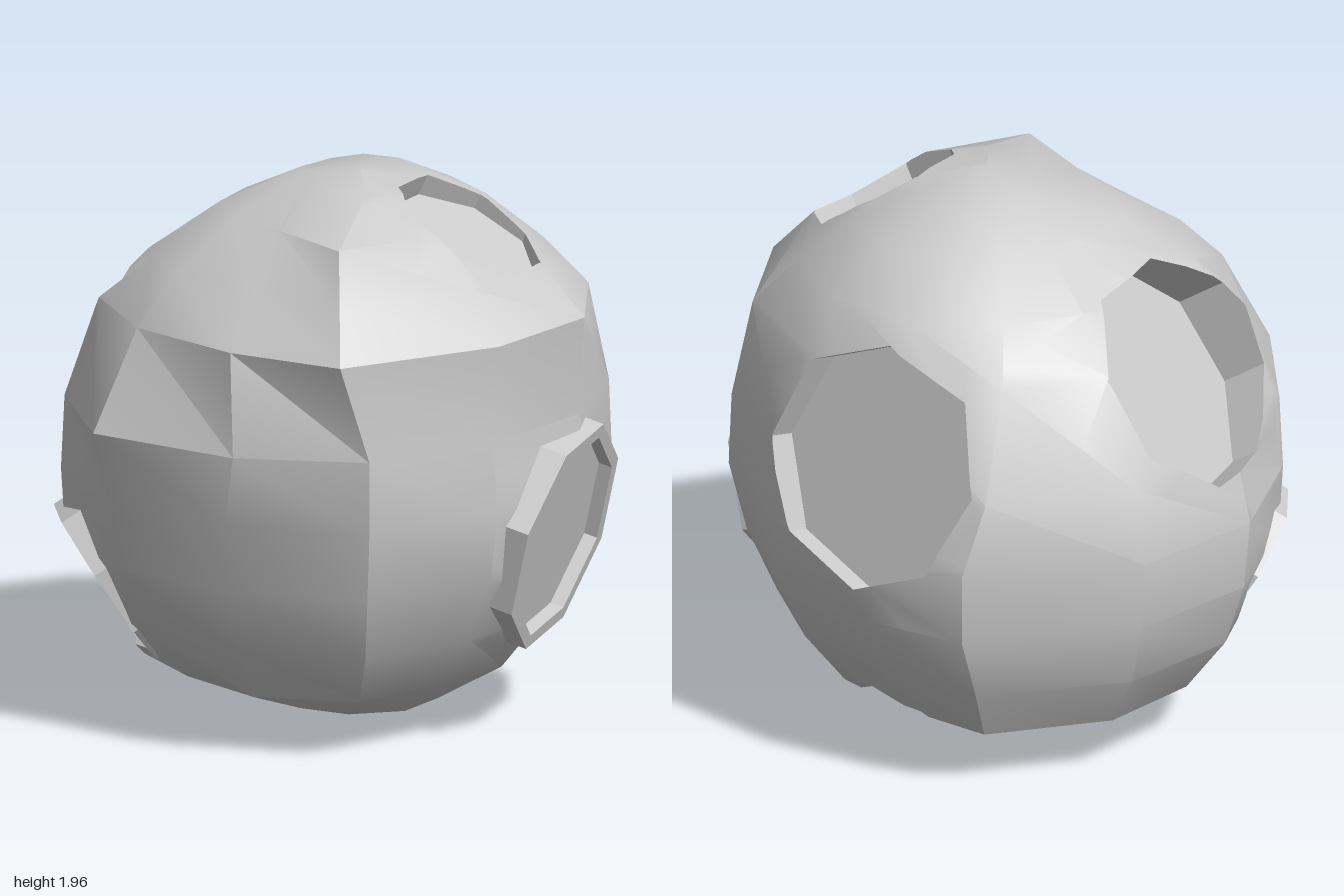
import * as THREE from 'three';
import { toCreasedNormals } from 'three/addons/utils/BufferGeometryUtils.js';

const V = (x, y, z) => new THREE.Vector3(x, y, z);
const MIDDLE = V(0, 0.98, 0);
const material = new THREE.MeshStandardMaterial({ color: 0xcccccc });

// Ring heights, and ring radii towards the front, +x, back and -x
const HEIGHTS = [1.92, 1.82, 1.66, 1.49, 1.14, 0.88, 0.63, 0.4, 0.2, 0.06];
const PROFILES = [
  [0.4, 0.62, 0.81, 0.95, 0.92, 0.94, 0.9, 0.78, 0.62, 0.4],
  [0.27, 0.49, 0.69, 0.79, 0.91, 0.93, 0.9, 0.8, 0.64, 0.33],
  [0.12, 0.31, 0.55, 0.74, 0.93, 0.99, 0.97, 0.9, 0.76, 0.25],
  [0.15, 0.44, 0.69, 0.86, 1.05, 0.98, 0.94, 0.84, 0.64, 0.28],
];
// Local lumps: [ring, column, extra radius, turn in radians]
const LUMPS = [
  [0, 11, 0.05, 0.15], [1, 11, 0.14, -0.1], [2, 11, 0.12, -0.1], [3, 11, 0.13, -0.1], [4, 11, 0.07, 0],
  [5, 11, 0.07, 0], [6, 11, 0.05, 0], [7, 11, 0.1, 0], [8, 11, 0.1, 0],
  [3, 10, 0.04, 0], [4, 10, 0, 0.05], [7, 10, 0.03, 0], [8, 10, 0.08, 0],
  [3, 1, 0.03, 0], [3, 2, 0.05, 0], [4, 2, 0.04, 0], [5, 2, 0.03, 0],
  [4, 5, 0.03, -0.06], [5, 5, 0.02, -0.14], [6, 5, 0.04, -0.14], [7, 5, 0.04, -0.1], [8, 5, 0.06, -0.08],
  [3, 7, 0.04, 0], [4, 7, -0.03, 0], [4, 8, -0.07, 0], [5, 8, -0.02, 0],
];

// Craters: opening centre, facing, circumradius, extra depth, roll, raised rim height
const CRATERS = [
  { name: 'frontCrater', at: V(0.5, 0.69, 0.78), facing: V(0.5, -0.25, 0.83), radius: 0.37, depth: -0.03, roll: 0.12, rim: 0.05 },
  { name: 'topCrater', at: V(0.27, 1.82, 0.51), facing: V(0.2, 1, 0.45), radius: 0.28, depth: 0.03, roll: 0 },
  { name: 'sideCrater', at: V(0.87, 1.18, -0.38), facing: V(0.9, 0.25, -0.36), radius: 0.44, depth: 0.05, roll: Math.PI / 8 },
  { name: 'backCrater', at: V(-0.38, 1.44, -0.68), facing: V(-0.53, 0.52, -0.65), radius: 0.42, depth: 0.04, roll: 0 },
  { name: 'underCrater', at: V(0.44, 0.17, -0.19), facing: V(0.42, -0.87, -0.22), radius: 0.28, depth: 0.05, roll: 0 },
  { name: 'lowCrater', at: V(-0.66, 0.47, -0.38), facing: V(-0.72, -0.55, -0.42), radius: 0.28, depth: 0.01, roll: 0, rim: 0.06 },
];

// Twelve-sided lumpy ball as a list of triangles
function rockTriangles() {
  const columns = 12;
  const ringPoint = (i, j) => {
    const col = j % columns;
    const side = Math.floor(col / 3);
    const t = (1 - Math.cos(((col % 3) / 3) * Math.PI)) / 2;
    let r = THREE.MathUtils.lerp(PROFILES[side][i], PROFILES[(side + 1) % 4][i], t);
    let a = (col / columns) * Math.PI * 2;
    for (const [ring, c, extra, turn] of LUMPS) {
      if (ring === i && c === col) {
        r += extra;
        a += turn;
      }
    }
    return V(0.06 + r * Math.sin(a), HEIGHTS[i], r * Math.cos(a));
  };
  const top = V(0.06, 1.96, 0.14), bottom = V(0.06, 0, 0.03);
  const last = HEIGHTS.length - 1;
  const tris = [];
  for (let j = 0; j < columns; j++) {
    tris.push([top, ringPoint(0, j), ringPoint(0, j + 1)]);
    for (let i = 0; i < last; i++) {
      const a = ringPoint(i, j), b = ringPoint(i + 1, j);
      const c = ringPoint(i + 1, j + 1), d = ringPoint(i, j + 1);
      tris.push([a, b, c], [a, c, d]);
    }
    tris.push([ringPoint(last, j), bottom, ringPoint(last, j + 1)]);
  }
  return tris;
}

// Splits a convex polygon by a plane into its outer and inner parts
function split(poly, dist) {
  const outer = [], inner = [];
  poly.forEach((p, k) => {
    const q = poly[(k + 1) % poly.length];
    const a = dist(p), b = dist(q);
    if (a >= 0) outer.push(p);
    if (a <= 0) inner.push(p);
    if (a * b < 0) {
      const m = p.clone().lerp(q, a / (a - b));
      outer.push(m);
      inner.push(m);
    }
  });
  return [outer, inner];
}

// Cuts an octagonal pit; returns the remaining skin, the pit faces and its frame
function cutCrater(polys, { at, facing, radius, depth, roll }) {
  const n = facing.clone().normalize();
  const u = V(0, 1, 0).cross(n).normalize().applyAxisAngle(n, roll);
  const v = n.clone().cross(u);
  const planes = Array.from({ length: 8 }, (_, k) => {
    const dir = u.clone().multiplyScalar(Math.cos(k * Math.PI / 4)).addScaledVector(v, Math.sin(k * Math.PI / 4));
    const offset = dir.dot(at) + radius * Math.cos(Math.PI / 8);
    return (p) => dir.dot(p) - offset;
  });
  const height = (p) => p.clone().sub(at).dot(n);
  const skin = [], removed = [];
  for (const poly of polys) {
    const behind = poly.every((p) => p.clone().sub(MIDDLE).dot(n) < 0.3);
    if (behind || planes.some((d) => poly.every((p) => d(p) >= 0))) {
      skin.push(poly);
      continue;
    }
    let rest = poly;
    const pieces = [];
    for (const d of planes) {
      const [outer, inner] = split(rest, d);
      if (outer.length > 2) pieces.push(outer);
      rest = inner;
      if (rest.length < 3) break;
    }
    if (rest.length < 3) skin.push(poly);
    else {
      skin.push(...pieces);
      removed.push(rest);
    }
  }
  const floor = Math.min(...removed.flat().map(height)) - depth;
  const drop = (p) => p.clone().addScaledVector(n, floor - height(p));
  const pit = [];
  for (const poly of removed) {
    pit.push(poly.map(drop));
    poly.forEach((p, k) => {
      const q = poly[(k + 1) % poly.length];
      if (planes.some((d) => Math.abs(d(p)) < 1e-6 && Math.abs(d(q)) < 1e-6)) pit.push([p, q, drop(q), drop(p)]);
    });
  }
  const frame = new THREE.Matrix4().makeBasis(u, v, n).setPosition(at.clone().addScaledVector(n, floor));
  return { skin, pit, frame };
}

function polygonMesh(name, polys, crease) {
  const points = [];
  for (const poly of polys) {
    for (let k = 1; k < poly.length - 1; k++) {
      const tri = [poly[0], poly[k], poly[k + 1]];
      const area = tri[1].clone().sub(tri[0]).cross(tri[2].clone().sub(tri[0])).length();
      if (area > 1e-8) points.push(...tri);
    }
  }
  const geometry = new THREE.BufferGeometry().setFromPoints(points);
  geometry.computeVertexNormals();
  const mesh = new THREE.Mesh(toCreasedNormals(geometry, crease), material);
  mesh.name = name;
  return mesh;
}

// Raised octagonal collar around a crater
function rimMesh(crater, frame) {
  const octagon = (r) => Array.from({ length: 8 }, (_, k) => {
    const a = (k + 0.5) * Math.PI / 4;
    return new THREE.Vector2(r * Math.cos(a), r * Math.sin(a));
  });
  const shape = new THREE.Shape(octagon(crater.radius + 0.045));
  shape.holes.push(new THREE.Path(octagon(crater.radius - 0.005)));
  const sunk = 0.08;
  const geometry = new THREE.ExtrudeGeometry(shape, { depth: crater.rim + sunk, bevelEnabled: false });
  geometry.translate(0, 0, -sunk).applyMatrix4(frame);
  const mesh = new THREE.Mesh(geometry, material);
  mesh.name = crater.name + 'Rim';
  return mesh;
}

export function createModel() {
  const group = new THREE.Group();
  group.name = 'asteroid';
  let skin = rockTriangles();
  for (const crater of CRATERS) {
    const cut = cutCrater(skin, crater);
    skin = cut.skin;
    group.add(polygonMesh(crater.name, cut.pit, 0.2));
    if (crater.rim) group.add(rimMesh(crater, cut.frame));
  }
  group.add(polygonMesh('rockBody', skin, 0.55));
  return group;
}
